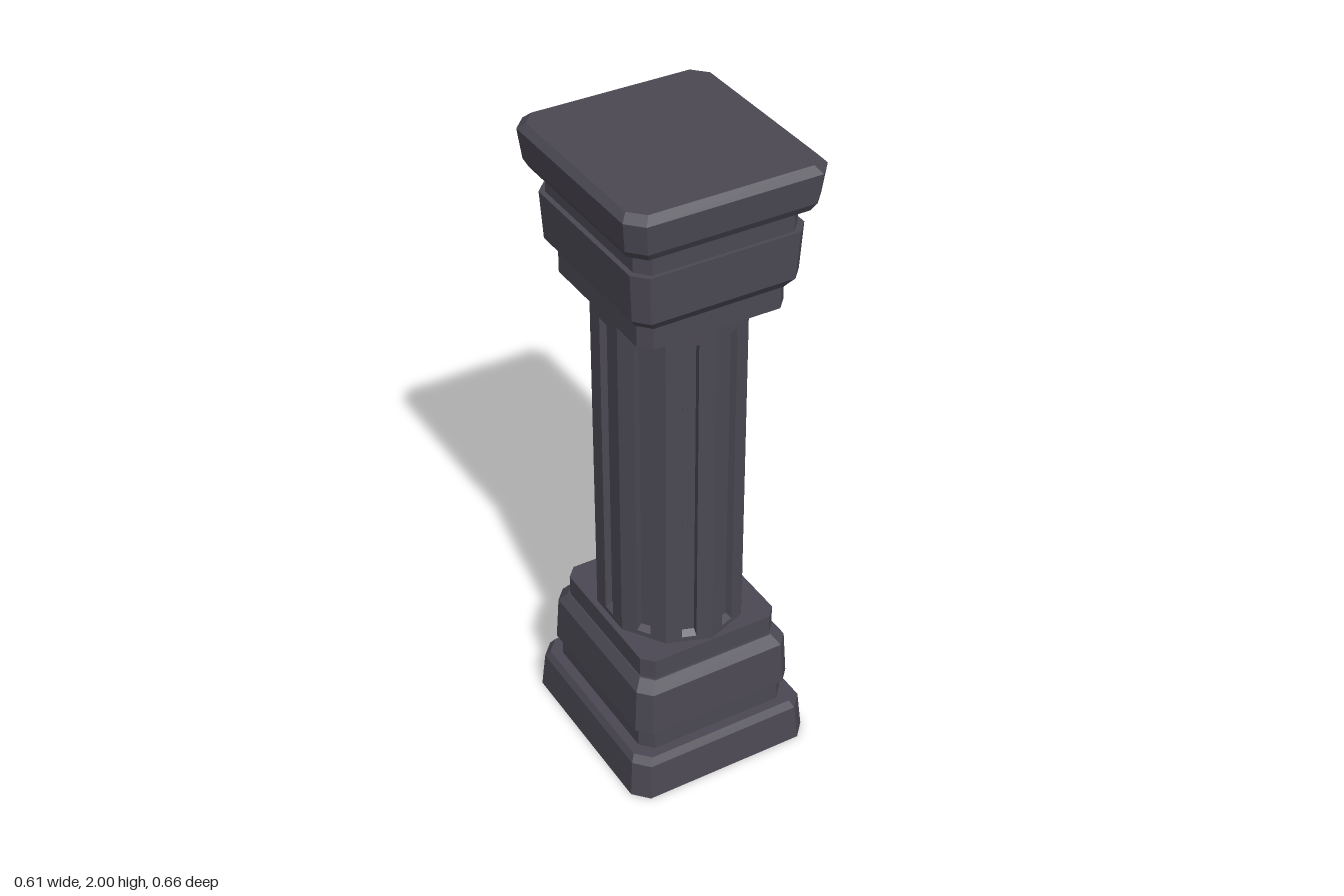
import * as THREE from 'three';

const stone = new THREE.MeshStandardMaterial({ color: 0x4b4853, flatShading: true });

// Skin a list of equal-length point rings, optionally closing the ends
function loft(rings, capStart, capEnd) {
  const n = rings[0].length;
  const index = [];
  for (let r = 0; r < rings.length - 1; r++) {
    for (let i = 0; i < n; i++) {
      const j = (i + 1) % n;
      const a = r * n + i, b = r * n + j;
      index.push(a, a + n, b, b, a + n, b + n);
    }
  }
  const last = (rings.length - 1) * n;
  for (let i = 1; i < n - 1; i++) {
    if (capStart) index.push(0, i, i + 1);
    if (capEnd) index.push(last, last + i + 1, last + i);
  }
  const geometry = new THREE.BufferGeometry();
  geometry.setAttribute('position', new THREE.Float32BufferAttribute(rings.flat(2), 3));
  geometry.setIndex(index);
  geometry.computeVertexNormals();
  return geometry;
}

// Rectangle with clipped corners at height y
function clippedRing([y, x, z]) {
  const bx = x * 0.86, bz = z * 0.86;
  return [[x, -bz], [x, bz], [bx, z], [-bx, z], [-x, bz], [-x, -bz], [-bx, -z], [bx, -z]]
    .map(([px, pz]) => [px, y, pz]);
}

// Stacked mouldings: [height, half width, half depth] per ring
const mouldings = {
  basePlinth: [[0, 0.303, 0.33], [0.118, 0.293, 0.32], [0.14, 0.28, 0.305]],
  baseNeck: [[0.14, 0.249, 0.275], [0.212, 0.249, 0.275]],
  baseMoulding: [[0.212, 0.264, 0.286], [0.357, 0.256, 0.28], [0.39, 0.232, 0.255]],
  shaftFoot: [[0.39, 0.228, 0.249], [0.457, 0.228, 0.249]],
  shaftCollar: [[1.55, 0.228, 0.249], [1.62, 0.228, 0.249]],
  capitalMoulding: [[1.62, 0.232, 0.255], [1.653, 0.256, 0.28], [1.797, 0.264, 0.286]],
  capitalNeck: [[1.797, 0.249, 0.275], [1.867, 0.249, 0.275]],
  capitalSlab: [[1.867, 0.28, 0.305], [1.892, 0.293, 0.32], [1.98, 0.303, 0.33], [2, 0.284, 0.308]],
};

// Ten-sided shaft, each face with one sunken flute
function createShaft() {
  const shaft = new THREE.Group();
  shaft.name = 'shaft';
  const sides = 10, radiusX = 0.22, radiusZ = 0.243;
  const corner = (k) => {
    const angle = (k / sides) * Math.PI * 2;
    return new THREE.Vector2(radiusX * Math.sin(angle), radiusZ * Math.cos(angle));
  };
  const rect = (w, y0, y1, z) => [[-w, y0, z], [-w, y1, z], [w, y1, z], [w, y0, z]];
  for (let k = 0; k < sides; k++) {
    const a = corner(k), b = corner(k + 1);
    const geometry = loft([
      rect(a.distanceTo(b) / 2, 0.45, 1.56, 0),
      rect(0.022, 0.473, 1.5, 0),
      rect(0.018, 0.486, 1.488, -0.02),
    ], false, true);
    const face = new THREE.Mesh(geometry, stone);
    face.name = 'flutedFace';
    face.position.set((a.x + b.x) / 2, 0, (a.y + b.y) / 2);
    face.rotation.y = Math.atan2(a.y - b.y, b.x - a.x);
    shaft.add(face);
  }
  return shaft;
}

export function createModel() {
  const column = new THREE.Group();
  column.name = 'column';
  for (const [name, profile] of Object.entries(mouldings)) {
    const mesh = new THREE.Mesh(loft(profile.map(clippedRing), true, true), stone);
    mesh.name = name;
    column.add(mesh);
  }
  column.add(createShaft());
  return column;
}
